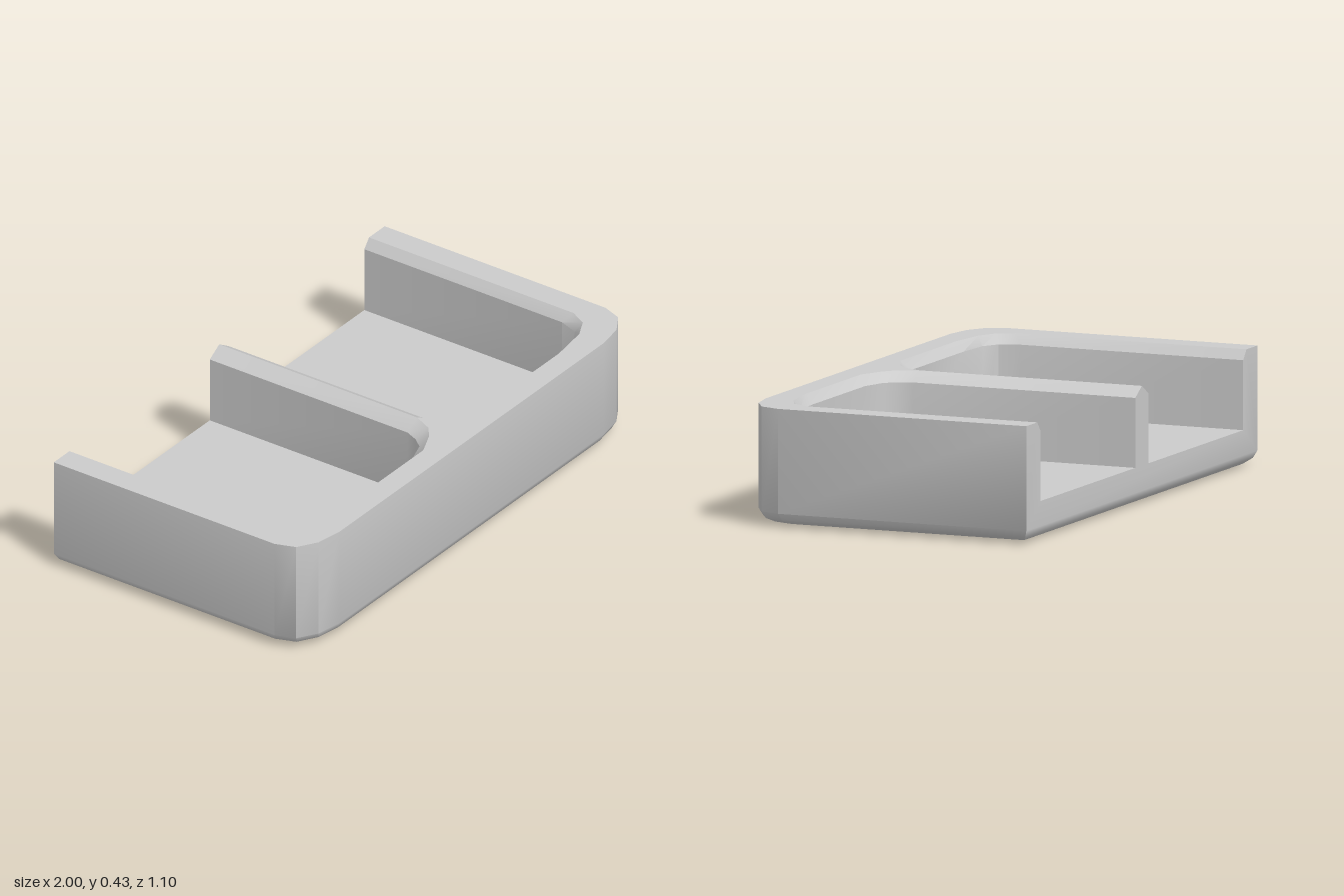
import * as THREE from 'three';
import { mergeGeometries, toCreasedNormals } from 'three/addons/utils/BufferGeometryUtils.js';

const TOP = 0.425, CHAMFER = 0.39, FLOOR = 0.14, BEVEL = 0.05, BACK = -0.55;
const CREASE = 0.66;

// Plan outlines as [x, z]
const mirror = pts => pts.map(([x, z]) => [-x, z]);
const reversed = pts => [...pts].reverse();
const halfOutline = [[1, BACK], [1, 0.41], [0.973, 0.485], [0.9, 0.53], [0.8, 0.547]];
const outline = [...halfOutline, ...reversed(mirror(halfOutline))];
const rim = [[0.905, BACK], [0.905, 0.34], [0.87, 0.405], [0.8, 0.44], [0.65, 0.46],
  [0.17, 0.46], [0.08, 0.42], [0.035, 0.385], [0, 0.31], [0, BACK]];
const wall = [[0.877, BACK], [0.877, 0.31], [0.85, 0.385], [0.79, 0.42], [0.65, 0.43],
  [0.2, 0.43], [0.11, 0.4], [0.078, 0.36], [0.057, 0.31], [0.057, BACK]];

// Band of quads from an upper path down to a lower path
function strip(upper, yUpper, lower, yLower, closed = false) {
  const pos = [];
  const n = upper.length;
  for (let i = 0; i < (closed ? n : n - 1); i++) {
    const j = (i + 1) % n;
    const a = [upper[i][0], yUpper, upper[i][1]], b = [upper[j][0], yUpper, upper[j][1]];
    const c = [lower[j][0], yLower, lower[j][1]], d = [lower[i][0], yLower, lower[i][1]];
    pos.push(...a, ...b, ...c, ...a, ...c, ...d);
  }
  return new THREE.BufferGeometry().setAttribute('position', new THREE.Float32BufferAttribute(pos, 3));
}

function flat(pts) {
  const shape = new THREE.Shape(pts.map(([x, y]) => new THREE.Vector2(x, y)));
  const geo = new THREE.ShapeGeometry(shape).toNonIndexed();
  geo.deleteAttribute('uv');
  geo.deleteAttribute('normal');
  return geo;
}

// Horizontal face from a plan outline, facing up or down
function level(pts, y, up = true) {
  const geo = flat(pts.map(([x, z]) => [x, up ? -z : z]));
  return geo.rotateX(up ? -Math.PI / 2 : Math.PI / 2).translate(0, y, 0);
}

function mesh(name, parts) {
  const geo = toCreasedNormals(mergeGeometries(parts), CREASE);
  const m = new THREE.Mesh(geo, new THREE.MeshStandardMaterial({ color: 0xcccccc }));
  m.name = name;
  return m;
}

export function createModel() {
  const group = new THREE.Group();
  group.name = 'dividedTray';

  // Outer wall and rounded bottom edge
  const scaled = (sx, sz) => outline.map(([x, z]) => [x * sx, z * sz]);
  const bevel = [[BEVEL, 1, 1], [0.025, 0.985, 0.98], [0.008, 0.945, 0.94], [0, 0.9, 0.9]];
  const body = [strip(outline, TOP, outline, BEVEL)];
  for (let i = 1; i < bevel.length; i++) {
    const [y0, ...s0] = bevel[i - 1], [y1, ...s1] = bevel[i];
    body.push(strip(scaled(...s0), y0, scaled(...s1), y1, true));
  }
  body.push(level(scaled(0.9, 0.9), 0, false));

  // Flat top of the rim, open at the back
  const openRim = rim.slice(0, -1);
  body.push(level([...outline, ...mirror(openRim), ...reversed(openRim).slice(1)], TOP));

  // Back face with the two pocket openings
  const halfBack = [[1, BEVEL], [1, TOP], [0.905, TOP], [0.877, CHAMFER], [0.877, FLOOR],
    [0.057, FLOOR], [0.057, CHAMFER]];
  const back = flat([...halfBack, [0, TOP], ...reversed(mirror(halfBack))]);
  body.push(back.rotateY(Math.PI).translate(0, 0, BACK));
  group.add(mesh('trayBody', body));

  // Pockets: chamfered lip, side walls and floor
  for (const [name, place] of [['leftPocket', reversed], ['rightPocket', mirror]]) {
    const r = place(rim), w = place(wall);
    group.add(mesh(name, [
      strip(r, TOP, w, CHAMFER),
      strip(w, CHAMFER, w, FLOOR),
      level(w, FLOOR),
    ]));
  }
  return group;
}
